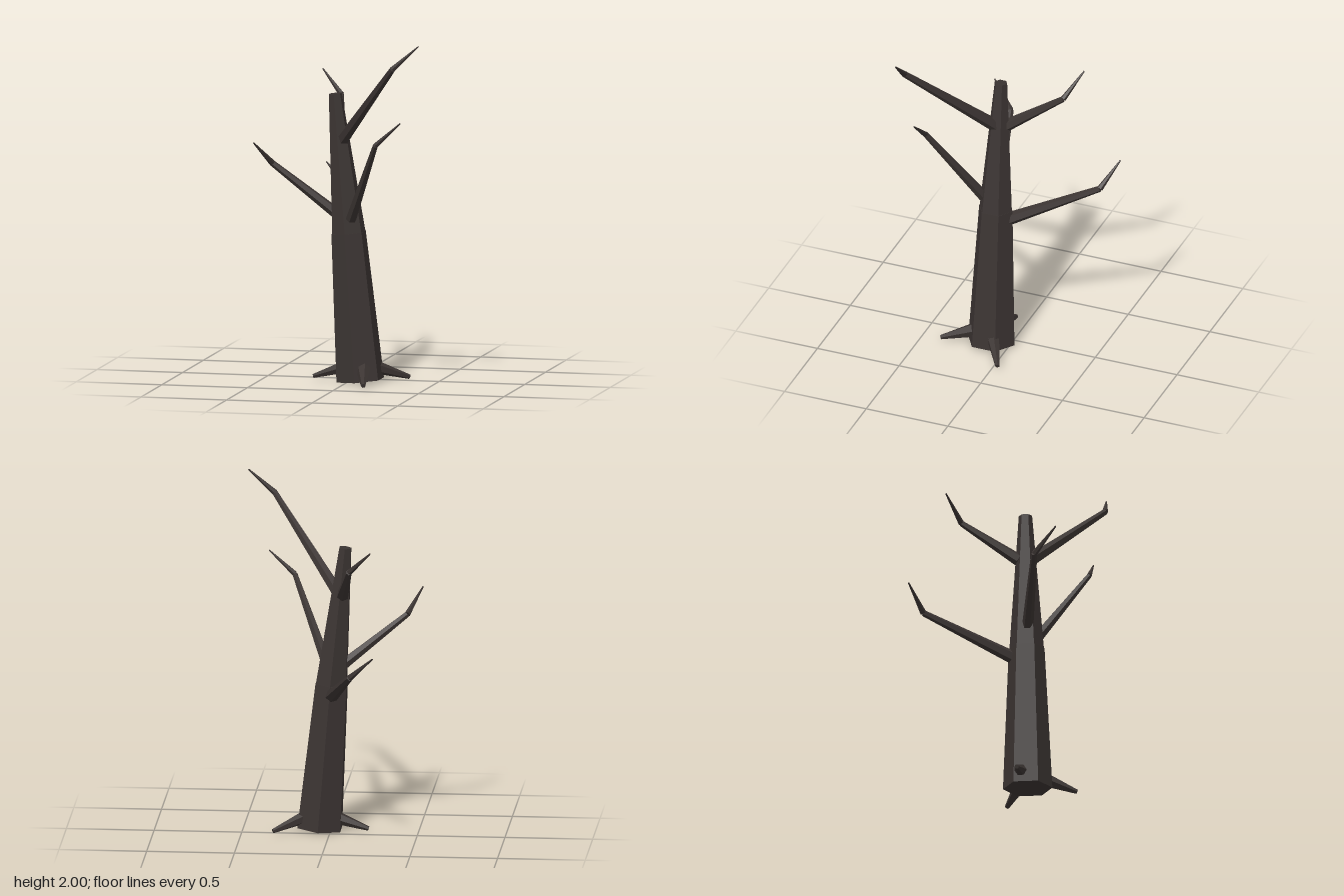
import * as THREE from 'three';

const SIDES = 6;
const UP = new THREE.Vector3(0, 1, 0);

export function createModel() {
  const tree = new THREE.Group();
  tree.name = 'bareTree';
  const bark = new THREE.MeshStandardMaterial({ color: 0x3b3432, flatShading: true });
  bark.name = 'darkBark';

  // A tapered six-sided limb between two points
  function limb(name, from, to, r0, r1, parent = tree) {
    const a = new THREE.Vector3(...from);
    const b = new THREE.Vector3(...to);
    const dir = b.clone().sub(a);
    const mesh = new THREE.Mesh(new THREE.CylinderGeometry(r1, r0, dir.length(), SIDES), bark);
    mesh.name = name;
    mesh.position.copy(a).add(b).multiplyScalar(0.5);
    mesh.quaternion.setFromUnitVectors(UP, dir.normalize());
    parent.add(mesh);
  }

  // Leaning trunk in two sections
  limb('lowerTrunk', [0.065, 0.015, 0.11], [-0.003, 0.86, 0.11], 0.141, 0.102);
  limb('upperTrunk', [0, 0.84, 0.11], [-0.081, 1.654, 0.11], 0.1, 0.038);

  // Branches: base, elbow, tip, base radius, elbow radius
  const branches = [
    ['frontUpperBranch', [-0.035, 1.39, 0.125], [0.355, 1.865, 0.525], [0.505, 2, 0.52], 0.037, 0.018],
    ['frontLowerBranch', [0.027, 0.945, 0.175], [0.235, 1.412, 0.445], [0.382, 1.545, 0.457], 0.032, 0.016],
    ['rightBranch', [-0.06, 0.96, 0.12], [-0.428, 1.253, 0.19], [-0.507, 1.385, 0.32], 0.033, 0.018],
    ['backUpperBranch', [-0.07, 1.385, 0.07], [-0.133, 1.598, -0.25], [-0.26, 1.73, -0.328], 0.036, 0.017],
    ['backLowerBranch', [-0.01, 0.805, 0.03], [-0.155, 1.035, -0.465], [-0.29, 1.165, -0.538], 0.038, 0.018],
  ];
  for (const [name, base, elbow, tip, r0, r1] of branches) {
    const group = new THREE.Group();
    group.name = name;
    limb(name + 'Lower', base, elbow, r0, r1, group);
    limb(name + 'Twig', elbow, tip, r1, 0.004, group);
    tree.add(group);
  }

  // Stubby roots
  limb('leftRoot', [0.12, 0.095, 0.08], [0.32, 0.022, -0.03], 0.042, 0.013);
  limb('rightRoot', [-0.01, 0.09, 0.083], [-0.217, 0.023, 0.072], 0.042, 0.013);
  limb('frontRoot', [0.105, 0.088, 0.2], [0.15, 0.022, 0.385], 0.042, 0.013);

  return tree;
}
